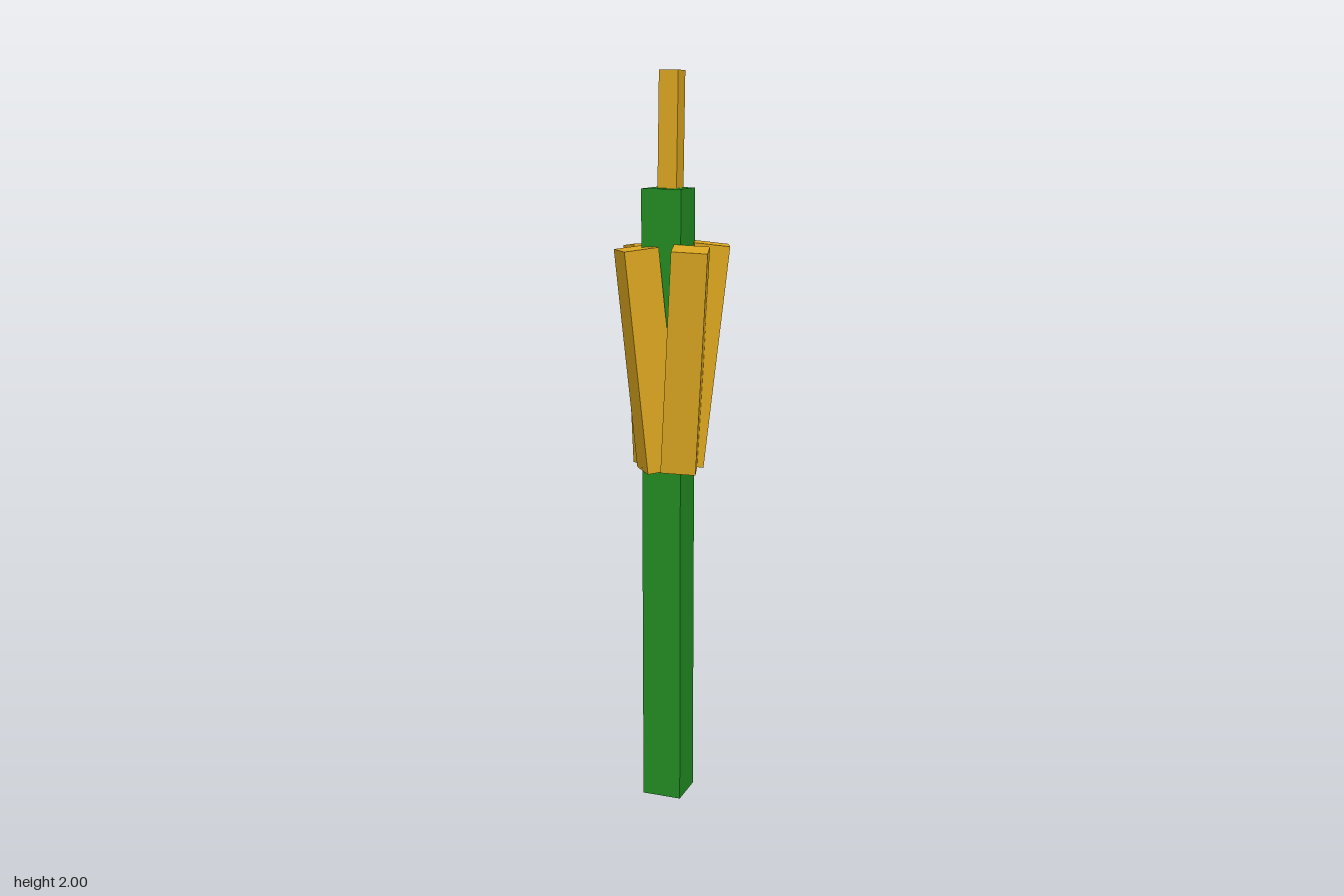
import * as THREE from 'three';

const green = new THREE.MeshStandardMaterial({ color: 0x228b22, flatShading: true });
const gold = new THREE.MeshStandardMaterial({ color: 0xdaa520, flatShading: true });

// Square bar running from one end centre to the other, turned about its own axis
function bar(name, size, bottom, top, angle, material) {
  const a = new THREE.Vector3(...bottom);
  const b = new THREE.Vector3(...top);
  const up = b.clone().sub(a);
  const length = up.length();
  up.normalize();
  const side = new THREE.Vector3(Math.cos(angle), 0, Math.sin(angle));
  side.addScaledVector(up, -side.dot(up)).normalize();
  const front = new THREE.Vector3().crossVectors(side, up);
  const mesh = new THREE.Mesh(new THREE.BoxGeometry(size, length, size), material);
  mesh.name = name;
  mesh.quaternion.setFromRotationMatrix(new THREE.Matrix4().makeBasis(side, up, front));
  mesh.position.copy(a).add(b).multiplyScalar(0.5);
  return mesh;
}

export function createModel() {
  const model = new THREE.Group();
  model.name = 'flower';

  // Straight square stem
  model.add(bar('stem', 0.11, [0, 0, 0.001], [0, 1.7, 0.001], 0, green));

  // Slim, barely leaning tip
  model.add(bar('tip', 0.053, [0.002, 1.6, -0.006], [0.009, 2, -0.003], 0, gold));

  // Four petals flaring outwards around the stem
  const petals = [
    ['petalBackLeft', [0.042, 0.96, -0.023], [0.104, 1.555, -0.049], -0.37],
    ['petalBackRight', [-0.052, 0.95, -0.031], [-0.099, 1.545, -0.083], 0.88],
    ['petalFrontRight', [-0.018, 0.95, 0.026], [-0.066, 1.546, 0.066], 0.88],
    ['petalFrontLeft', [0.044, 0.955, 0.034], [0.095, 1.55, 0.091], -0.27],
  ];
  for (const [name, bottom, top, angle] of petals) {
    model.add(bar(name, 0.094, bottom, top, angle, gold));
  }
  return model;
}
